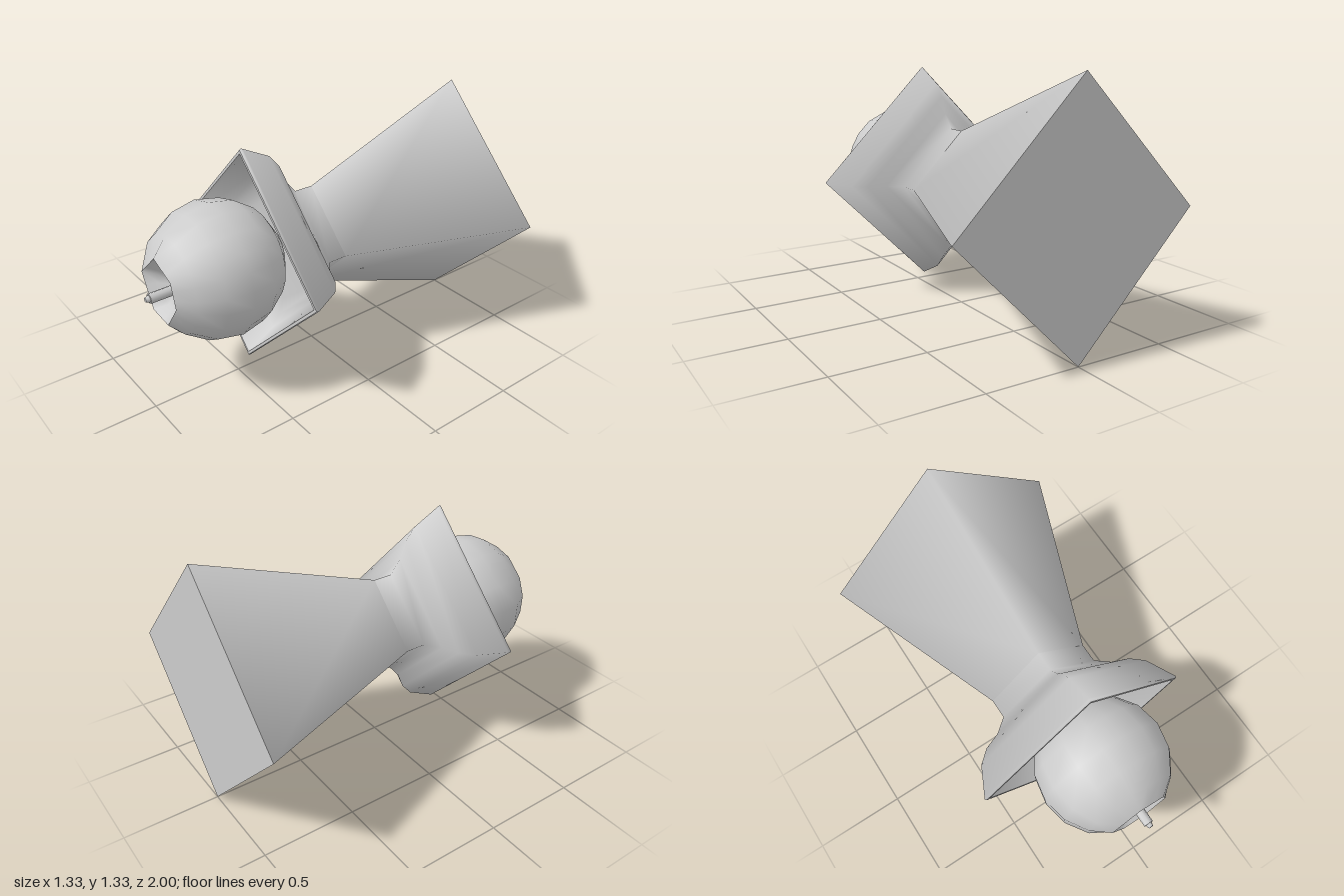
import * as THREE from 'three';

const CENTRE_Y = 0.665;
const material = new THREE.MeshStandardMaterial({ color: 0xcccccc });
const v3 = (x, y, z) => new THREE.Vector3(x, y, z);

// Four-sided turned form around the z axis; profile points are [radius, z]
function turned(name, profile) {
  const points = profile.map(([r, z]) => new THREE.Vector2(r, z));
  const geometry = new THREE.LatheGeometry(points, 4);
  geometry.rotateX(Math.PI / 2);
  geometry.translate(0, CENTRE_Y, 0);
  const mesh = new THREE.Mesh(geometry, material);
  mesh.name = name;
  return mesh;
}

// Smooth surface through closed rings with equal numbers of points
function loft(name, rings) {
  const n = rings[0].length;
  const index = [];
  for (let k = 0; k < rings.length - 1; k++) {
    for (let j = 0; j < n; j++) {
      const a = k * n + j, b = k * n + (j + 1) % n;
      index.push(a, a + n, b, b, a + n, b + n);
    }
  }
  const geometry = new THREE.BufferGeometry().setFromPoints(rings.flat());
  geometry.setIndex(index);
  geometry.computeVertexNormals();
  const mesh = new THREE.Mesh(geometry, material);
  mesh.name = name;
  return mesh;
}

// Round pin section along z
function pinPart(name, frontRadius, backRadius, z0, z1) {
  const geometry = new THREE.CylinderGeometry(frontRadius, backRadius, z1 - z0, 8);
  geometry.rotateX(Math.PI / 2);
  geometry.translate(0.02, 0.655, (z0 + z1) / 2);
  const mesh = new THREE.Mesh(geometry, material);
  mesh.name = name;
  return mesh;
}

export function createModel() {
  const group = new THREE.Group();
  group.name = 'ballSocketStand';

  // Flared square body with a flat back and a wide collar
  group.add(turned('backPlate', [[0, -1], [0.665, -1]]));
  group.add(turned('flaredBase', [[0.665, -1], [0.29, 0]]));
  group.add(turned('collar', [
    [0.29, 0], [0.29, 0.105], [0.365, 0.165], [0.455, 0.2],
    [0.525, 0.26], [0.6, 0.41], [0.605, 0.42], [0.6, 0.43],
  ]));
  group.add(turned('collarRim', [[0.6, 0.43], [0.58, 0.43]]));
  group.add(turned('collarCup', [
    [0.58, 0.43], [0.57, 0.41], [0.49, 0.27], [0.42, 0.225], [0.33, 0.195], [0, 0.18],
  ]));

  // Uneven six-sided opening in the ball, three points per side
  const corners = [
    [-0.165, 0.695], [-0.075, 0.52], [0.07, 0.505],
    [0.17, 0.645], [0.135, 0.775], [-0.015, 0.835],
  ];
  const rim = [];
  corners.forEach(([x, y], i) => {
    const [nx, ny] = corners[(i + 1) % corners.length];
    for (let s = 0; s < 3; s++) {
      rim.push(v3(x + (nx - x) * s / 3, y + (ny - y) * s / 3, 0.92));
    }
  });

  // Ball behind the opening
  const centre = v3(-0.004, 0.672, 0.6);
  const radius = 0.357;
  const ballRings = [rim];
  for (const degrees of [46, 68, 90, 112, 134, 157, 180]) {
    const t = THREE.MathUtils.degToRad(degrees);
    ballRings.push(rim.map((p) => {
      const a = Math.atan2(p.y - centre.y, p.x - centre.x);
      const r = radius * Math.sin(t);
      return v3(centre.x + r * Math.cos(a), centre.y + r * Math.sin(a), centre.z + radius * Math.cos(t));
    }));
  }
  group.add(loft('ball', ballRings));

  // Hollow dish sunk into the front of the ball
  const dishRings = [[0.02, 0.825], [0.35, 0.835], [0.7, 0.865], [1, 0.92]].map(([scale, z]) =>
    rim.map((p) => v3(0.01 + (p.x - 0.01) * scale, 0.66 + (p.y - 0.66) * scale, z)));
  group.add(loft('dish', dishRings));

  // Small stepped pin in the dish
  group.add(pinPart('pin', 0.026, 0.026, 0.81, 0.98));
  group.add(pinPart('pinTip', 0.012, 0.018, 0.98, 1));

  return group;
}
